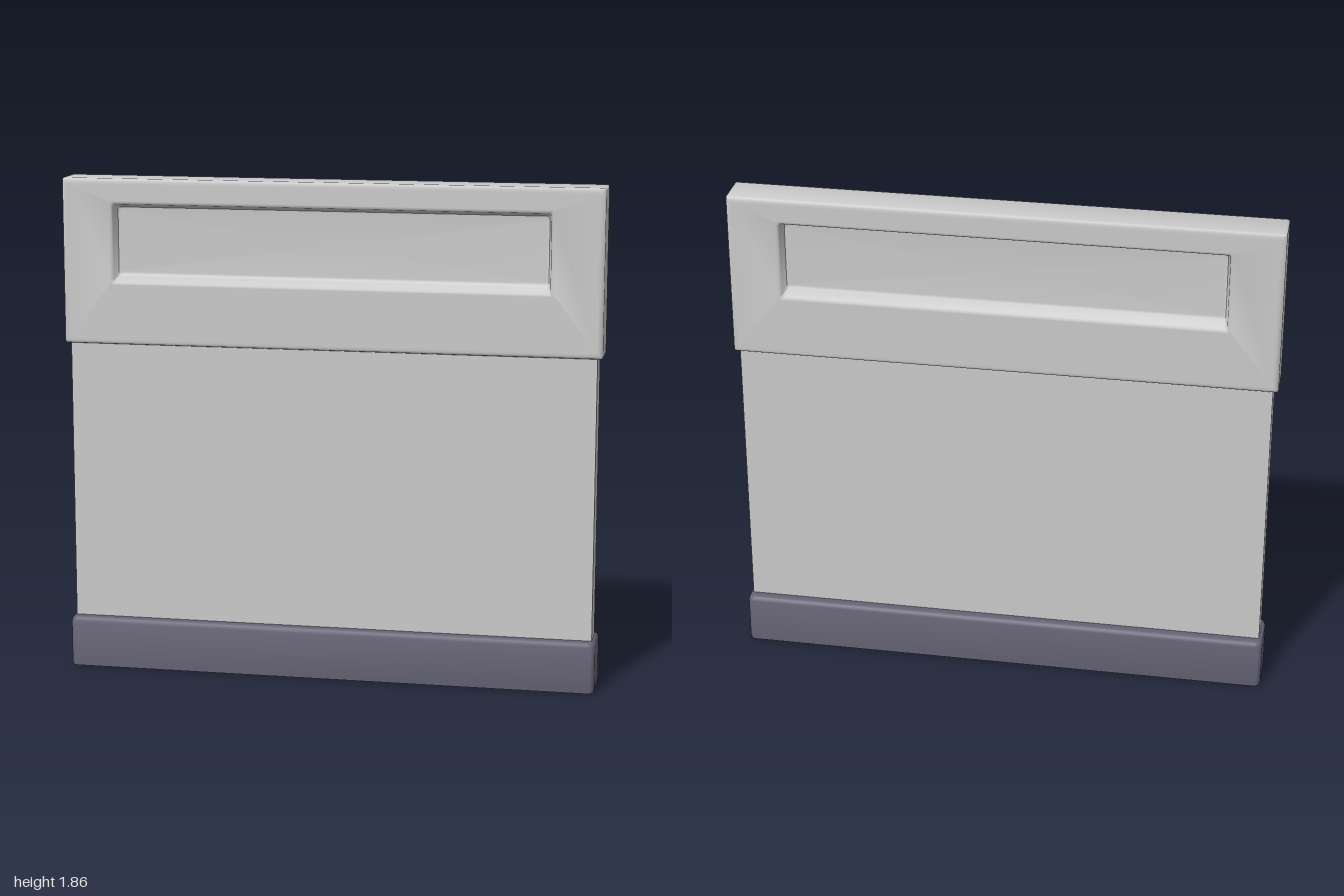
import * as THREE from 'three';
import { toCreasedNormals } from 'three/addons/utils/BufferGeometryUtils.js';

const CORNER_STEPS = 4;

// Rounded rectangle, counter-clockwise: half width, bottom, top, corner radius, depth
function ring([hw, y0, y1, r, z]) {
  const points = [];
  const centres = [[hw - r, y1 - r], [r - hw, y1 - r], [r - hw, y0 + r], [hw - r, y0 + r]];
  centres.forEach(([cx, cy], q) => {
    for (let i = 0; i <= CORNER_STEPS; i++) {
      const a = (q + i / CORNER_STEPS) * Math.PI / 2;
      points.push(cx + r * Math.cos(a), cy + r * Math.sin(a), z);
    }
  });
  return points;
}

// Skin joining successive rounded rectangles
function loft(rings) {
  const n = 4 * (CORNER_STEPS + 1);
  const positions = rings.flatMap(ring);
  const index = [];
  for (let k = 0; k < rings.length - 1; k++) {
    for (let i = 0; i < n; i++) {
      const j = (i + 1) % n;
      const a = k * n + i, b = k * n + j, c = a + n, d = b + n;
      index.push(a, b, d, a, d, c);
    }
  }
  const geometry = new THREE.BufferGeometry();
  geometry.setAttribute('position', new THREE.Float32BufferAttribute(positions, 3));
  geometry.setIndex(index);
  return toCreasedNormals(geometry, 0.9);
}

export function createModel() {
  const group = new THREE.Group();
  const lightGrey = new THREE.MeshStandardMaterial({ color: 0xcbcbcb });
  lightGrey.name = 'light grey';
  const slate = new THREE.MeshStandardMaterial({ color: 0x656374 });
  slate.name = 'slate';

  const add = (name, geometry, material) => {
    const mesh = new THREE.Mesh(geometry, material);
    mesh.name = name;
    group.add(mesh);
    return mesh;
  };

  // Plinth: rounded upright corners, softened top edge, flat underside
  const plinth = loft([
    [0, 0, 0, 0, 0],
    [0.993, -0.095, 0.095, 0.025, 0],
    [0.995, -0.095, 0.095, 0.025, 0.01],
    [0.995, -0.095, 0.095, 0.025, 0.172],
    [0.99, -0.09, 0.09, 0.022, 0.185],
    [0.98, -0.08, 0.08, 0.015, 0.19],
    [0.97, -0.07, 0.07, 0.01, 0.19],
    [0, 0, 0, 0, 0.19],
  ]);
  plinth.rotateX(-Math.PI / 2);
  add('plinth', plinth, slate);

  // Plain wall panel
  const wall = new THREE.BoxGeometry(1.96, 1.08, 0.11);
  wall.translate(0, 0.72, 0);
  add('wallPanel', wall, lightGrey);

  // Header: two identical halves back to back, each with a sunken panel
  const header = loft([
    [1, 1.24, 1.855, 0.008, 0],
    [1, 1.24, 1.855, 0.008, 0.062],
    [0.997, 1.243, 1.852, 0.007, 0.071],
    [0.988, 1.252, 1.843, 0.004, 0.075],
    [0.978, 1.262, 1.833, 0.002, 0.075],
    [0.82, 1.462, 1.773, 0.01, 0.075],
    [0.813, 1.47, 1.766, 0.01, 0.075],
    [0.808, 1.476, 1.761, 0.01, 0.069],
    [0.803, 1.488, 1.753, 0.01, 0.042],
    [0.798, 1.497, 1.747, 0.01, 0.031],
    [0.788, 1.507, 1.737, 0.01, 0.03],
    [0, 1.62, 1.62, 0, 0.03],
  ]);
  add('headerFront', header, lightGrey);
  add('headerBack', header, lightGrey).rotation.y = Math.PI;

  return group;
}
